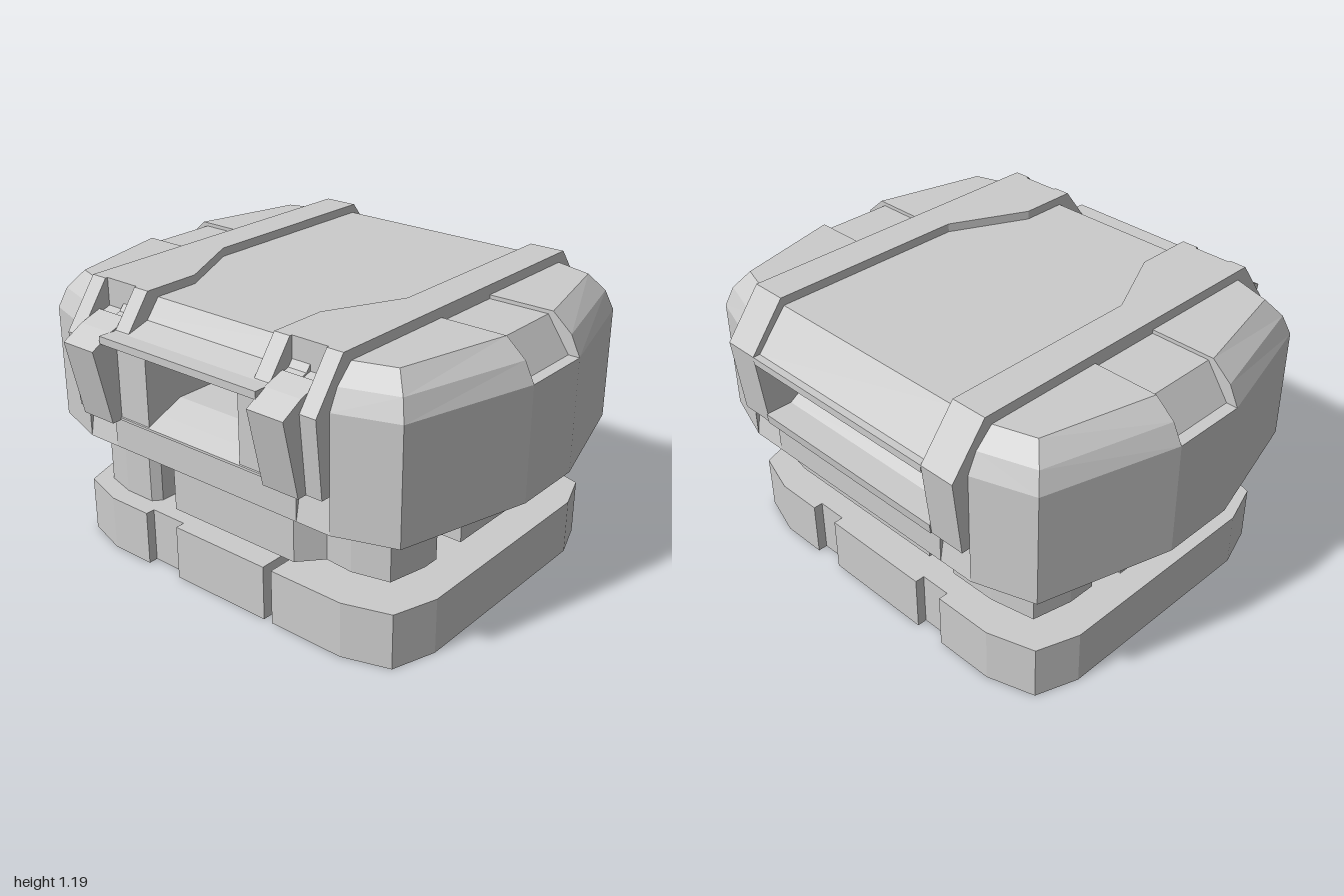
import * as THREE from 'three';

const material = new THREE.MeshStandardMaterial({ color: 0xcccccc, flatShading: true, side: THREE.DoubleSide });
const toPath = (pts, flip, Type) => new Type(pts.map(([a, b]) => new THREE.Vector2(a, b * flip)));

// Plan outline [x, z] raised from y0 to y1
function plan(name, pts, y0, y1, holes = []) {
  const shape = toPath(pts, -1, THREE.Shape);
  holes.forEach(([x0, x1, z0, z1]) =>
    shape.holes.push(toPath([[x0, z0], [x1, z0], [x1, z1], [x0, z1]], -1, THREE.Path)));
  const g = new THREE.ExtrudeGeometry(shape, { depth: y1 - y0, bevelEnabled: false });
  g.rotateX(-Math.PI / 2).translate(0, y0, 0);
  return named(name, g);
}

// Side profile [z, y] stretched from x0 to x1
function side(name, pts, x0, x1) {
  const g = new THREE.ExtrudeGeometry(toPath(pts, 1, THREE.Shape), { depth: x1 - x0, bevelEnabled: false });
  g.rotateY(-Math.PI / 2).translate(x1, 0, 0);
  return named(name, g);
}

function box(name, x0, x1, y0, y1, z0, z1) {
  const g = new THREE.BoxGeometry(x1 - x0, y1 - y0, z1 - z0);
  g.translate((x0 + x1) / 2, (y0 + y1) / 2, (z0 + z1) / 2);
  return named(name, g);
}

function named(name, geometry) {
  const mesh = new THREE.Mesh(geometry, material);
  mesh.name = name;
  return mesh;
}

// One flank of the upper body: closed cross-sections lofted front to back
function flank(s) {
  const inner = 0.46;
  // x, z, bevel inset in x, bevel inset in z, notched
  const stations = [
    [0.61, 0.73, 0, 0.11], [0.85, 0.65, 0.08, 0.08], [1, 0.11, 0.12, 0],
    [1, 0.11, 0.14, 0, true], [1, -0.2, 0.14, 0, true],
    [1, -0.2, 0.12, 0], [0.85, -0.73, 0.08, -0.08], [0.61, -0.81, 0, -0.11],
  ];
  const rings = stations.map(([x, z, dx, dz, notch]) => {
    const top = notch ? 1.135 : 1.15;
    return [
      [x, 0.54, z], [x, 1, z],
      [x - dx * 0.33, notch ? 1 : 1.08, z - dz * 0.35],
      [x - dx, top, z - dz], [inner, top, z - dz], [inner, 0.54, z],
    ];
  });
  const pos = [];
  const tri = (a, b, c) => (s > 0 ? [a, b, c] : [a, c, b]).forEach(p => pos.push(p[0] * s, p[1], p[2]));
  const n = rings[0].length;
  for (let i = 0; i < rings.length - 1; i++) {
    for (let j = 0; j < n; j++) {
      const k = (j + 1) % n, A = rings[i], B = rings[i + 1];
      tri(A[j], B[j], B[k]);
      tri(A[j], B[k], A[k]);
    }
  }
  const first = rings[0], last = rings[rings.length - 1];
  for (let j = 1; j < n - 1; j++) {
    tri(first[0], first[j], first[j + 1]);
    tri(last[0], last[j + 1], last[j]);
  }
  const g = new THREE.BufferGeometry();
  g.setAttribute('position', new THREE.Float32BufferAttribute(pos, 3));
  g.computeVertexNormals();
  return named('bodyFlank', g);
}

export function createModel() {
  const model = new THREE.Group();
  model.name = 'container';
  const add = (...parts) => model.add(...parts);

  // Base plate with edge notches and slots
  add(plan('basePlate', [
    [-0.6, 0.66], [-0.4, 0.66], [-0.4, 0.62], [-0.23, 0.62], [-0.23, 0.66],
    [0.23, 0.66], [0.23, 0.4], [0.27, 0.4], [0.27, 0.66], [0.6, 0.66],
    [0.79, 0.6], [0.85, 0.42], [0.85, -0.5], [0.79, -0.67], [0.6, -0.73],
    [0.4, -0.73], [0.4, -0.69], [0.27, -0.69], [0.27, -0.73],
    [-0.22, -0.73], [-0.22, -0.69], [-0.35, -0.69], [-0.35, -0.73],
    [-0.6, -0.73], [-0.79, -0.67], [-0.85, -0.5], [-0.85, 0.42], [-0.79, 0.6],
  ], 0, 0.23, [
    [-0.4, -0.23, -0.17, 0.13], [0.25, 0.39, -0.41, -0.37],
    [-0.39, -0.25, -0.39, -0.35], [-0.39, -0.25, 0.3, 0.34], [0.23, 0.27, -0.17, 0.2],
  ]));

  // Middle layer with gaps between its blocks
  add(plan('middleLayer', [
    [-0.4, 0.45], [-0.23, 0.45], [-0.23, 0.655], [0.38, 0.655], [0.46, 0.565], [0.58, 0.575],
    [0.73, 0.54], [0.765, 0.38], [0.765, 0.31], [0.67, 0.31], [0.67, 0.155], [0.765, 0.155],
    [0.765, -0.19], [0.67, -0.19], [0.67, -0.345], [0.765, -0.345], [0.765, -0.46],
    [0.73, -0.62], [0.55, -0.655], [-0.22, -0.655], [-0.22, -0.61], [-0.35, -0.61],
    [-0.35, -0.655], [-0.55, -0.655], [-0.73, -0.62], [-0.765, -0.46],
    [-0.765, -0.345], [-0.62, -0.345], [-0.62, 0.2], [-0.4, 0.2],
  ], 0.31, 0.54));
  add(plan('cornerPost', [
    [-0.77, 0.2], [-0.77, 0.4], [-0.73, 0.54], [-0.6, 0.575],
    [-0.46, 0.575], [-0.43, 0.54], [-0.43, 0.2],
  ], 0.23, 0.54));
  add(box('sidePost', -0.74, -0.45, 0.23, 0.54, -0.15, 0.08));

  // Centre of the body: roof panel and tunnel floor
  add(side('roofPanel', [
    [0.61, 1.155], [0.67, 1.08], [0.77, 1.05], [0.77, 1], [0.68, 1], [-0.6, 0.87], [-0.7, 0.87],
    [-0.78, 0.97], [-0.88, 0.97], [-0.88, 1], [-0.85, 1], [-0.72, 1.155],
  ], -0.46, 0.46));
  add(side('tunnelFloor', [
    [0.73, 0.54], [0.73, 0.69], [0.77, 0.69], [0.77, 0.7], [0.7, 0.73], [0.6, 0.77], [-0.68, 0.77],
    [-0.74, 0.73], [-0.855, 0.73], [-0.85, 0.69], [-0.81, 0.69], [-0.81, 0.54],
  ], -0.46, 0.46));

  const back = [[-0.73, 1.19], [-0.88, 1], [-0.845, 0.69]];
  for (const s of [1, -1]) {
    const span = (a, b) => (s > 0 ? [a, b] : [-b, -a]);
    add(flank(s));
    // Raised rails over the top
    add(side('outerRail', [[0.77, 0.69], [0.8, 1], [0.66, 1.19], ...back], ...span(0.54, 0.61)));
    add(side('slottedRail', [[0.74, 0.69], [0.74, 1.05], [0.65, 1.08], [0.65, 1.19], ...back], ...span(0.46, 0.54)));
    add(plan('railWedge', [[0.46, 0.11], [0.31, 0.42], [0.31, 0.65], [0.46, 0.65]].map(([x, z]) => [x * s, z]), 1.08, 1.19));
    add(side('innerRailTip', [[0.64, 1], [0.64, 1.19], [0.66, 1.19], [0.765, 1.05], [0.765, 1]], ...span(0.31, 0.38)));
    // Front cheeks and clasps
    add(box('frontCheek', ...span(0.23, 0.46), 0.69, 1.02, 0.3, 0.765));
    add(side('clasp', [[0.7, 1.08], [0.79, 1.05], [0.88, 1], [0.81, 0.69], [0.72, 0.69]], ...span(0.38, 0.54)));
  }
  add(box('claspBar', -0.385, 0.385, 1.02, 1.05, 0.76, 0.84));
  return model;
}
